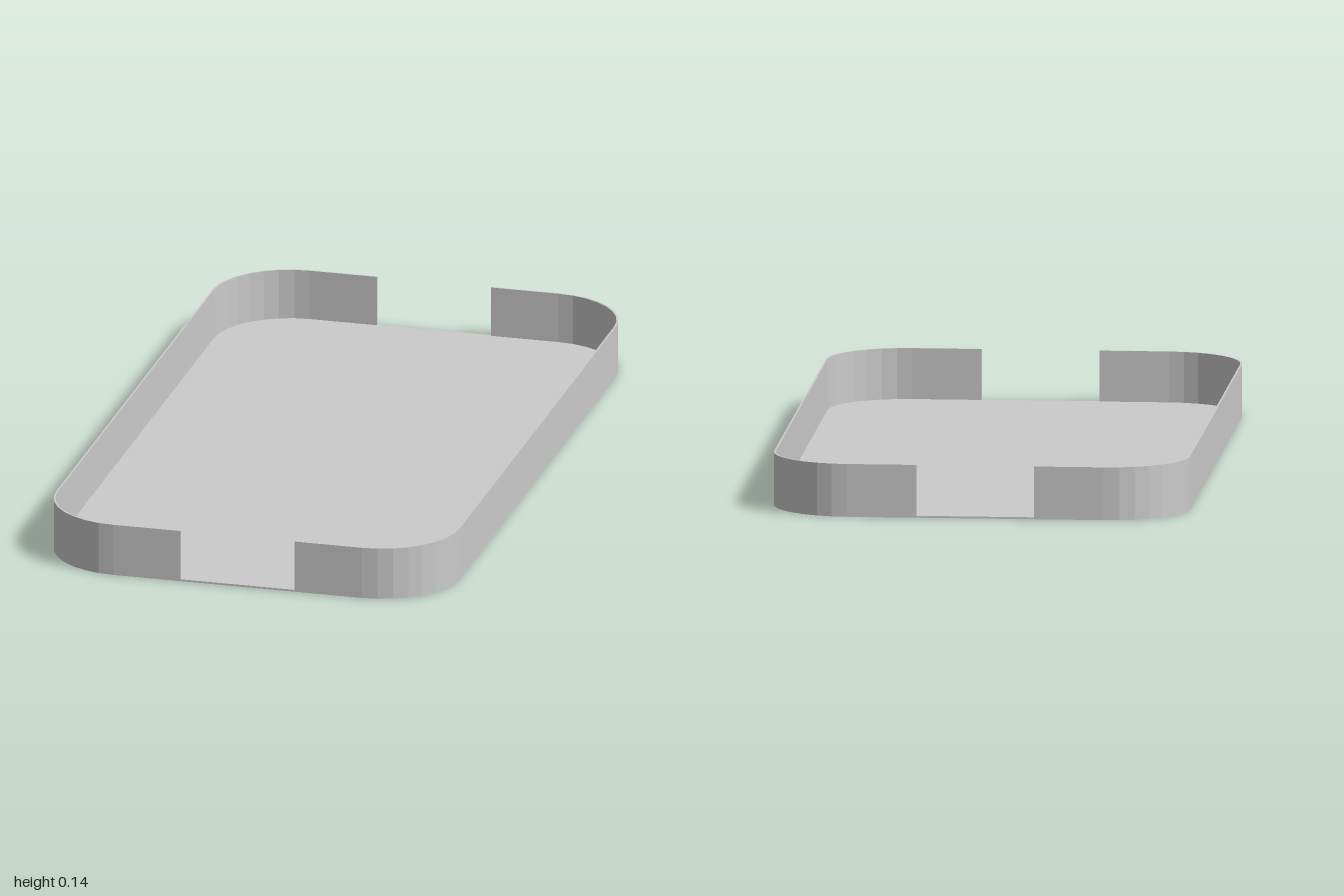
import * as THREE from 'three';

const HALF_W = 0.548, HALF_L = 1, RADIUS = 0.21, HEIGHT = 0.14;
const THICK = 0.005, GAP = 0.155, SEGMENTS = 8;

// One side of the rounded outline, from the front gap edge round to the back one
function sidePoints(inset, startX) {
  const r = RADIUS - inset, cx = HALF_W - RADIUS, cz = HALF_L - RADIUS;
  const pts = [new THREE.Vector2(startX, -HALF_L + inset)];
  for (const end of [-1, 1]) {
    for (let i = 0; i <= SEGMENTS; i++) {
      const a = (Math.PI / 2) * (i / SEGMENTS + (end < 0 ? -1 : 0));
      pts.push(new THREE.Vector2(cx + r * Math.cos(a), end * cz + r * Math.sin(a)));
    }
  }
  pts.push(new THREE.Vector2(startX, HALF_L - inset));
  return pts;
}

// Extrude a plan outline upwards from height y
function slab(name, points, y, height, material) {
  const geometry = new THREE.ExtrudeGeometry(new THREE.Shape(points), { depth: height, bevelEnabled: false });
  geometry.rotateX(-Math.PI / 2);
  geometry.translate(0, y, 0);
  const mesh = new THREE.Mesh(geometry, material);
  mesh.name = name;
  return mesh;
}

export function createModel() {
  const group = new THREE.Group();
  group.name = 'tray';
  const material = new THREE.MeshStandardMaterial({ color: 0xcccccc, flatShading: true });

  // Thin floor with rounded corners
  const half = sidePoints(0, 0);
  const mirrored = half.slice(1, -1).map((p) => new THREE.Vector2(-p.x, p.y)).reverse();
  group.add(slab('floor', [...half, ...mirrored], 0, THICK, material));

  // Thin side walls wrapping the corners, open in the middle of both ends
  const band = [...sidePoints(0, GAP), ...sidePoints(THICK, GAP).reverse()];
  for (const [name, side] of [['leftWall', 1], ['rightWall', -1]]) {
    const points = band.map((p) => new THREE.Vector2(side * p.x, p.y));
    group.add(slab(name, points, THICK, HEIGHT - THICK, material));
  }
  return group;
}
